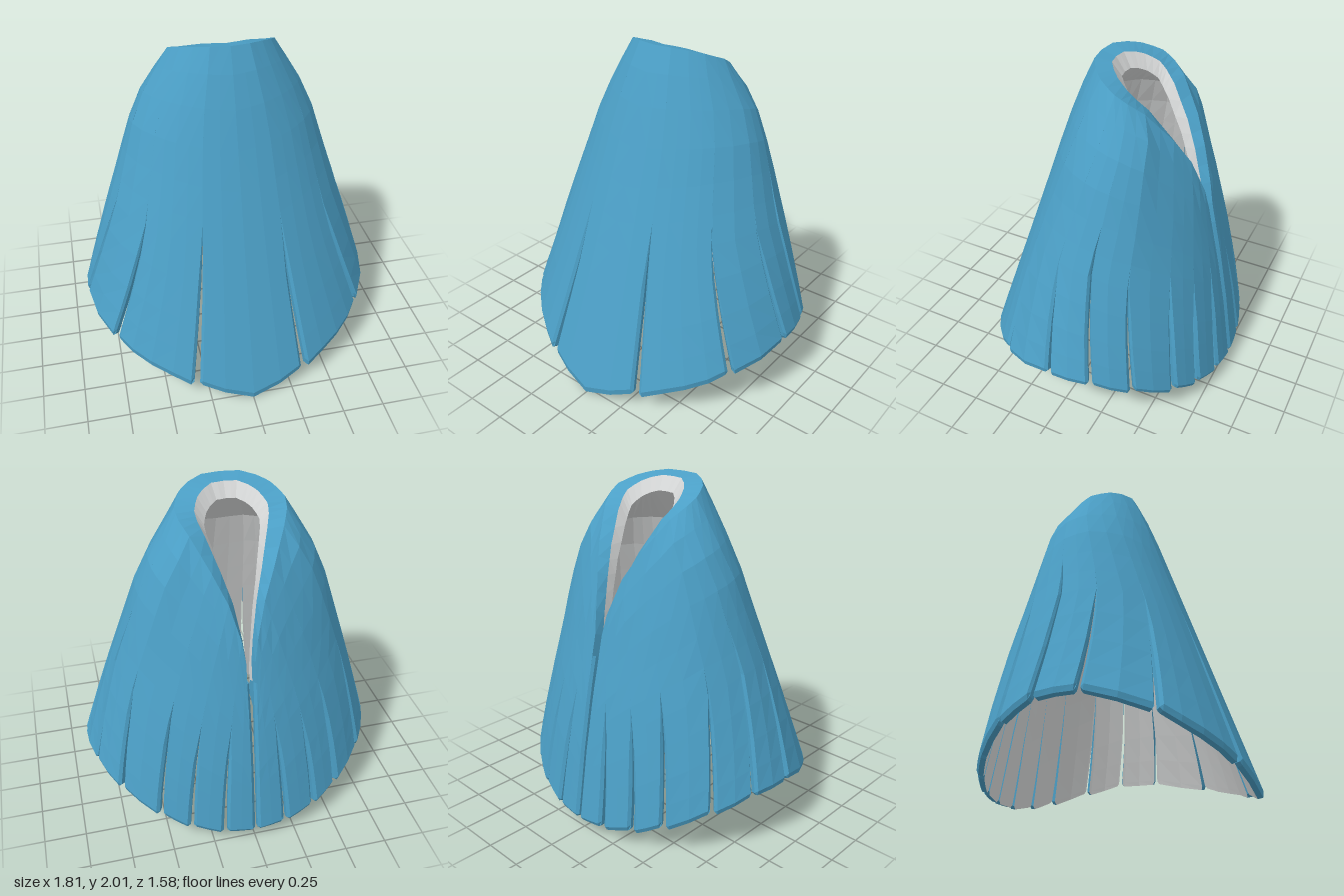
import * as THREE from 'three';

// piecewise-linear lookup: rows of [key, ...values]
function lerpTable(table, k) {
  let i = 0;
  while (i < table.length - 2 && k > table[i + 1][0]) i++;
  const a = table[i], b = table[i + 1];
  const f = Math.min(1, Math.max(0, (k - a[0]) / (b[0] - a[0])));
  return a.slice(1).map((v, j) => v + (b[j + 1] - v) * f);
}

// body outline by height: half width, front z, back z
const WIDTH = [[0, 1.02], [0.37, 0.91], [0.95, 0.73], [1.2, 0.65], [1.55, 0.54], [1.7, 0.46], [1.85, 0.36], [2, 0.26]];
const FRONT = [[0, 0.8], [1.8, 0.2], [2, 0.11]];
const BACK = [[0, -0.81], [0.5, -0.73], [0.85, -0.66], [1.05, -0.61], [1.3, -0.55], [1.5, -0.48], [1.7, -0.4], [1.82, -0.28], [2, -0.1]];
// collar edge by angle from the front: x, y, z
const COLLAR = [[0, 0, 2, 0.11], [20, 0.11, 2, 0.095], [40, 0.2, 1.985, 0.04], [60, 0.27, 1.96, -0.03], [87, 0.31, 1.92, -0.13],
  [108, 0.3, 1.88, -0.2], [126, 0.26, 1.82, -0.28], [145, 0.17, 1.65, -0.41], [157, 0.1, 1.5, -0.49], [169, 0.045, 1.3, -0.56], [180, 0.008, 1.05, -0.615]];
// hem height by angle
const HEM = [[0, 0], [20, 0.1], [56, 0.27], [87, 0.36], [107, 0.35], [126, 0.28], [145, 0.18], [157, 0.12], [169, 0.08], [180, 0.07]];
// slits: angle, height of the top end, half gap
const SLITS = [[20, 1.05, 0.015], [56, 1.05, 0.015], [86, 1.07, 0.013], [107, 1.32, 0.013], [126, 1.03, 0.012],
  [145, 0.95, 0.011], [157, 0.8, 0.009], [169, 0.8, 0.009], [180, 9, 0.006]];
const ROWS = [0, 0.07, 0.16, 0.27, 0.38, 0.48, 0.57, 0.68, 0.8, 0.9, 0.983, 1];
const LAST = ROWS.length - 1;
const THICK = 0.045, BEVEL = 0.015;
const RAD = Math.PI / 180;

function bodyPoint(angle, y, depth) {
  const [w] = lerpTable(WIDTH, y), [f] = lerpTable(FRONT, y), [b] = lerpTable(BACK, y);
  const r = (f - b) / 2, s = Math.sin(angle), c = Math.cos(angle);
  const n = new THREE.Vector3(s * r, 0.3 * r, c * w).normalize();
  return new THREE.Vector3(w * s, y, (f + b) / 2 + r * c).addScaledVector(n, -depth);
}

// point on the cloth: u = angle in degrees, t = 0 collar to 1 hem
function clothPoint(u, t, shift, depth, lift) {
  const edge = new THREE.Vector3(...lerpTable(COLLAR, u));
  const hem = lerpTable(HEM, u)[0] + lift;
  const y = edge.y + (hem - edge.y) * t;
  const lean = (h) => u * RAD - 12 * RAD * Math.sin(u * RAD) ** 2 * Math.min(1, (h - hem) / 0.7);
  const fix = edge.clone().sub(bodyPoint(lean(edge.y), edge.y, 0));
  return bodyPoint(lean(y) + shift / 0.8, y, depth).addScaledVector(fix, (1 - t) ** 2);
}

// one column of the cloth; slit edges open up below the slit's top end
function column(u, slit, side, rim) {
  const outer = [], inner = [], open = [];
  ROWS.forEach((t, i) => {
    let shift = 0, depth = i === LAST ? BEVEL : 0;
    if (slit) {
      const hem = lerpTable(HEM, u)[0], top = lerpTable(COLLAR, u)[1];
      const y = top + (hem - top) * t;
      const frac = slit[1] > 2 ? 1 : Math.max(0, (slit[1] - y) / (slit[1] - hem));
      const soft = Math.min(1, 3 * frac);
      shift = side * (slit[2] * frac + (rim ? 0 : BEVEL * soft));
      if (rim) depth = BEVEL * soft;
      open.push(frac > 0);
    }
    const lift = rim ? 0.018 : 0;
    const p = clothPoint(u, t, shift, depth, lift);
    outer.push(p);
    inner.push(clothPoint(u, t, shift, THICK, lift));
  });
  // thick rolled collar: lip and undercut
  const e = outer[0], dz = -0.02 - 0.07 * Math.cos(u * RAD);
  inner[0] = new THREE.Vector3(e.x * 0.66, e.y - 0.02, e.z + dz);
  inner[1] = new THREE.Vector3(e.x * 0.5, e.y - 0.1, e.z + 1.6 * dz);
  return { outer, inner, open };
}

function buildHalf() {
  const cloth = [], lining = [];
  const tri = (out, a, b, c) => {
    const area = b.clone().sub(a).cross(c.clone().sub(a)).length();
    if (area > 1e-8) out.push(a, b, c);
  };
  const quad = (out, a, b, c, d) => { tri(out, a, b, c); tri(out, a, c, d); };
  const strip = (out, l, r, i) => quad(out, l[i], l[i + 1], r[i + 1], r[i]);

  let from = 0, fromSlit = null;
  SLITS.forEach((slit) => {
    const to = slit[0], steps = to - from > 30 ? 4 : 2;
    const cols = [];
    if (fromSlit) cols.push(column(from, fromSlit, 1, true));
    for (let s = 0; s <= steps; s++) {
      const u = from + (to - from) * s / steps;
      if (s === 0) cols.push(column(u, fromSlit, 1, false));
      else if (s === steps) cols.push(column(u, slit, -1, false));
      else cols.push(column(u, null, 0, false));
    }
    cols.push(column(to, slit, -1, true));

    for (let c = 0; c < cols.length - 1; c++) {
      const l = cols[c], r = cols[c + 1];
      for (let i = 0; i < LAST; i++) {
        strip(cloth, l.outer, r.outer, i);
        strip(lining, r.inner, l.inner, i);
      }
      // collar band and hem underside
      quad(cloth, l.inner[0], l.outer[0], r.outer[0], r.inner[0]);
      quad(cloth, l.outer[LAST], l.inner[LAST], r.inner[LAST], r.outer[LAST]);
    }
    // slit walls
    const first = cols[0], end = cols[cols.length - 1];
    for (let i = 0; i < LAST; i++) {
      if (fromSlit && first.open[i + 1]) strip(cloth, first.inner, first.outer, i);
      if (end.open[i + 1]) strip(cloth, end.outer, end.inner, i);
    }
    from = to;
    fromSlit = slit;
  });
  return { cloth, lining };
}

function toGeometry(points, mirror) {
  const list = [];
  for (let i = 0; i < points.length; i += 3) {
    const t = mirror ? [points[i], points[i + 2], points[i + 1]] : [points[i], points[i + 1], points[i + 2]];
    t.forEach((p) => list.push(mirror ? -p.x : p.x, p.y, p.z));
  }
  const g = new THREE.BufferGeometry();
  g.setAttribute('position', new THREE.Float32BufferAttribute(list, 3));
  g.computeVertexNormals();
  return g;
}

export function createModel() {
  const blue = new THREE.MeshStandardMaterial({ color: 0x4b9fc6 });
  blue.name = 'blue cloth';
  const grey = new THREE.MeshStandardMaterial({ color: 0xd4d6d6 });
  grey.name = 'pale lining';

  const model = new THREE.Group();
  model.name = 'cape';
  const half = buildHalf();
  [['left', false], ['right', true]].forEach(([side, mirror]) => {
    const cloth = new THREE.Mesh(toGeometry(half.cloth, mirror), blue);
    cloth.name = side + 'Cloth';
    const lining = new THREE.Mesh(toGeometry(half.lining, mirror), grey);
    lining.name = side + 'Lining';
    model.add(cloth, lining);
  });
  return model;
}
